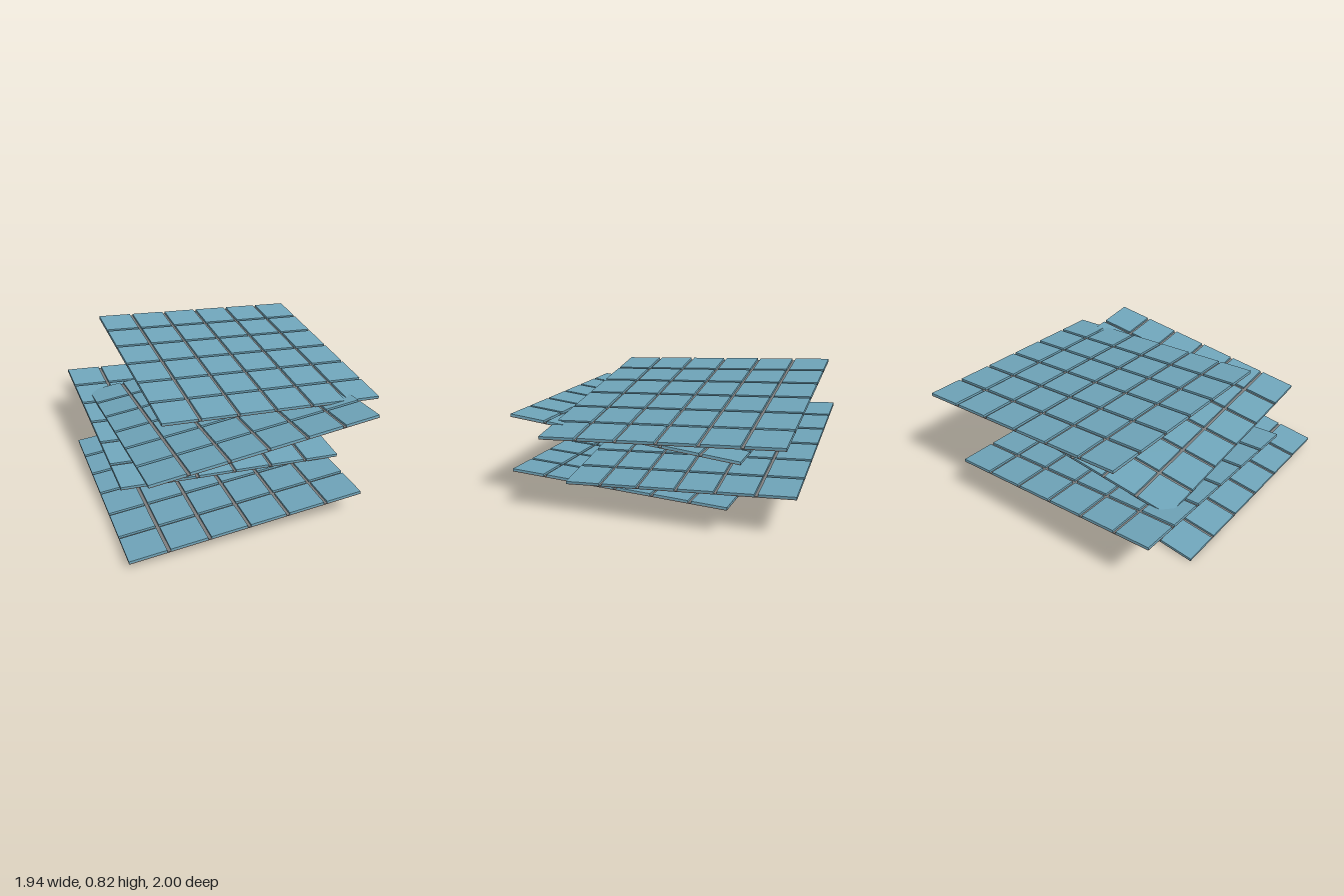
import * as THREE from 'three';

const SIZE = 1.508, COUNT = 6, GAP = 0.022;
const TILE = (SIZE - GAP * (COUNT - 1)) / COUNT;
const BASE_H = 0.006, TILE_H = 0.014;

const tileBlue = new THREE.MeshStandardMaterial({ color: 0x6fa5ba });
tileBlue.name = 'tile blue';
const backingGrey = new THREE.MeshStandardMaterial({ color: 0x808080 });
backingGrey.name = 'backing grey';

// One square mosaic sheet, its top face centred on the origin
function createSheet() {
  const sheet = new THREE.Group();
  const backing = new THREE.Mesh(new THREE.BoxGeometry(SIZE, BASE_H, SIZE), backingGrey);
  backing.name = 'backing';
  backing.position.y = -TILE_H - BASE_H / 2;
  sheet.add(backing);

  const tileGeometry = new THREE.BoxGeometry(TILE, TILE_H, TILE);
  const step = TILE + GAP, mid = (COUNT - 1) / 2;
  for (let row = 0; row < COUNT; row++) {
    for (let col = 0; col < COUNT; col++) {
      const tile = new THREE.Mesh(tileGeometry, tileBlue);
      tile.name = 'tile';
      tile.position.set((col - mid) * step, -TILE_H / 2, (row - mid) * step);
      sheet.add(tile);
    }
  }
  return sheet;
}

// Centre of each top face, with its sideways and forward directions
const sheets = [
  { centre: [-0.168, 0.102, 0.195], side: [1.495, 0.13, 0.108], front: [-0.105, 0.035, 1.5] },
  { centre: [-0.087, 0.302, -0.215], side: [1.505, -0.11, 0.07], front: [-0.075, -0.12, 1.5] },
  { centre: [-0.02, 0.508, 0.11], side: [1.5, 0.145, 0.07], front: [-0.08, 0.122, 1.49] },
  { centre: [0.178, 0.707, -0.175], side: [1.505, -0.11, 0.07], front: [-0.075, -0.12, 1.5] },
];

export function createModel() {
  const model = new THREE.Group();
  model.name = 'stackedTileSheets';
  sheets.forEach(({ centre, side, front }, i) => {
    const x = new THREE.Vector3(...side).normalize();
    const y = new THREE.Vector3(...front).cross(x).normalize();
    const z = new THREE.Vector3().crossVectors(x, y);
    const sheet = createSheet();
    sheet.name = `tileSheet${i + 1}`;
    sheet.quaternion.setFromRotationMatrix(new THREE.Matrix4().makeBasis(x, y, z));
    sheet.position.set(...centre);
    model.add(sheet);
  });
  return model;
}
